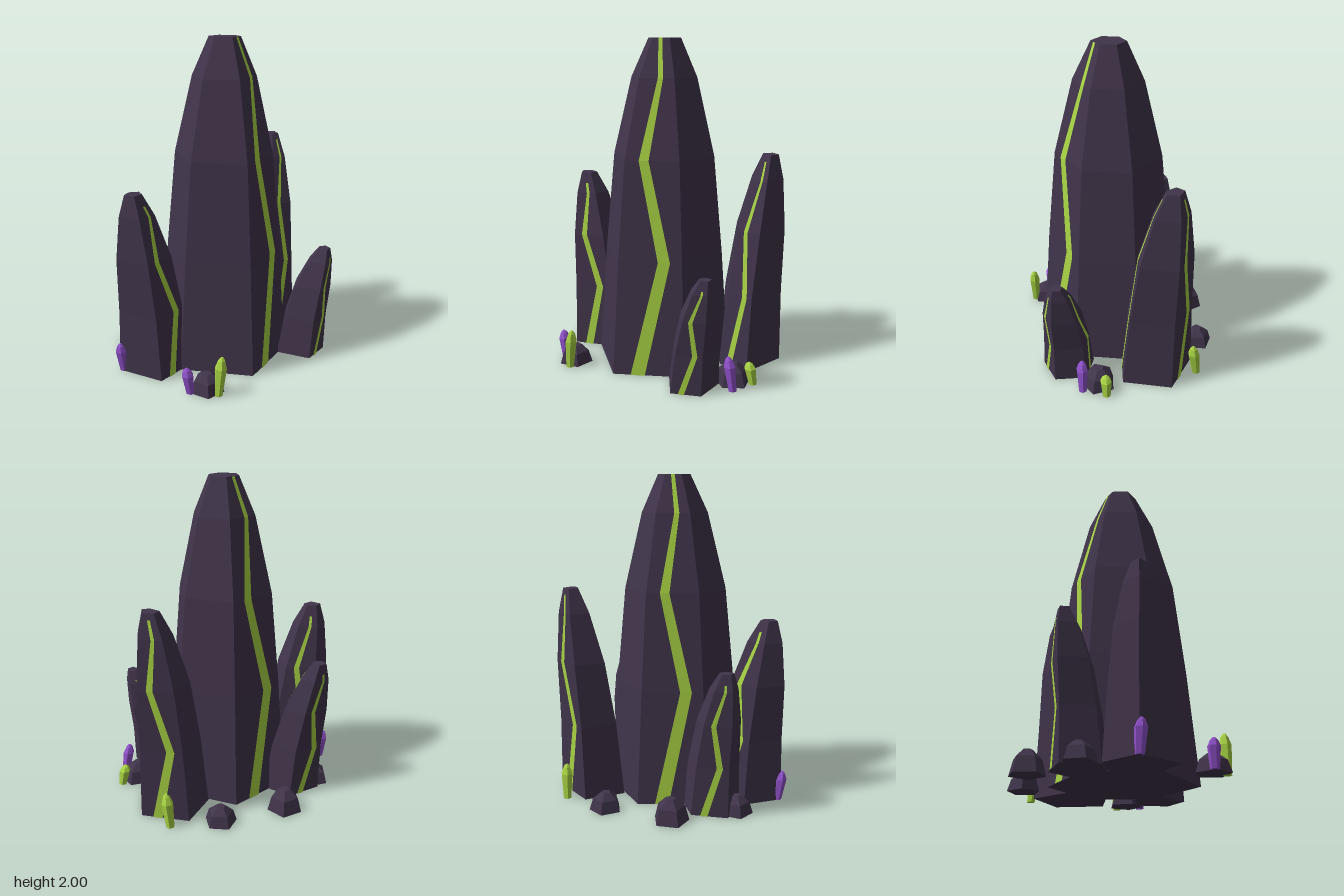
import * as THREE from 'three';

const rock = new THREE.MeshStandardMaterial({ color: 0x40344a });
rock.name = 'dark purple rock';
const green = new THREE.MeshStandardMaterial({ color: 0xa9d444 });
green.name = 'glowing green';
const purple = new THREE.MeshStandardMaterial({ color: 0x9152cc });
purple.name = 'violet crystal';

const V = (x, y, z) => new THREE.Vector3(x, y, z);

// Unshared corners keep every facet flat
function facets(tris, material, name) {
  const g = new THREE.BufferGeometry().setFromPoints(tris);
  g.computeVertexNormals();
  const m = new THREE.Mesh(g, material);
  m.name = name;
  return m;
}

// Closed solid through rings of equal point count, with flat ends
function loft(rings, material, name) {
  const tris = [], n = rings[0].length;
  for (let r = 0; r < rings.length - 1; r++) {
    for (let i = 0; i < n; i++) {
      const j = (i + 1) % n, lo = rings[r], hi = rings[r + 1];
      tris.push(lo[i], lo[j], hi[j], lo[i], hi[j], hi[i]);
    }
  }
  const bottom = rings[0], top = rings[rings.length - 1];
  for (let i = 1; i < n - 1; i++) {
    tris.push(bottom[0], bottom[i + 1], bottom[i], top[0], top[i], top[i + 1]);
  }
  return facets(tris, material, name);
}

// Zigzag vein on one side of a spire, raised just off the face
const ZIGZAG = [0.35, 0.72, 0.35, 0.61, 0.47];
const HALF = [0.1, 0.095, 0.09, 0.075, 0.11];
function vein(rings, side, end, name) {
  const n = rings[0].length, k = (side + 1) % n;
  const edge = V().subVectors(rings[0][k], rings[0][side]);
  const out = V(edge.z * -1, 0, edge.x).normalize().multiplyScalar(0.005);
  const rows = rings.map((ring, r) => [-1, 1].map(s =>
    ring[side].clone().lerp(ring[k], ZIGZAG[r] + s * HALF[r]).add(out)));
  rows[4] = rows[4].map((p, i) => rows[3][i].clone().lerp(p, end));
  const tris = [];
  for (let r = 0; r < 4; r++) {
    const [a, b] = rows[r], [d, c] = rows[r + 1];
    tris.push(a, b, c, a, c, d);
  }
  return facets(tris, green, name);
}

// Tapering spire: footprint (x, z) scaled up the height while leaning to the top centre
const LEVELS = [0, 0.35, 0.65, 0.885, 1];
const SCALES = [1, 0.88, 0.745, 0.48, 0.235];
function spire({ name, height, centre, top, foot, veins, end }) {
  const group = new THREE.Group();
  group.name = name;
  const rings = LEVELS.map((t, r) => {
    const lean = Math.pow(t, 1.6);
    const cx = centre[0] + (top[0] - centre[0]) * lean;
    const cz = centre[1] + (top[1] - centre[1]) * lean;
    return foot.map(([x, z]) => V(
      cx + (x - centre[0]) * SCALES[r], t * height, cz + (z - centre[1]) * SCALES[r]));
  });
  group.add(loft(rings, rock, name + 'Rock'));
  veins.forEach(s => group.add(vein(rings, s, end, name + 'Vein')));
  return group;
}

// Regular ring of points around (x, z)
function ring(n, x, y, z, r, turn) {
  return Array.from({ length: n }, (_, i) => {
    const a = turn + i * Math.PI * 2 / n;
    return V(x + Math.sin(a) * r, y, z + Math.cos(a) * r);
  });
}

// Low five-sided boulder
function boulder([x, z, r, h, turn]) {
  return loft([[0, 1], [0.65, 0.78], [1, 0.3]].map(([t, k]) =>
    ring(5, x, t * h, z, r * k, turn)), rock, 'boulder');
}

// Slim six-sided crystal leaning by (dx, dz)
function crystal([x, z, h, dx, dz, material]) {
  return loft([[0, 0.026], [0.72, 0.037], [0.92, 0.022], [1, 0.008]].map(([t, r]) =>
    ring(6, x + dx * t, t * h, z + dz * t, r, 0.3)), material, 'crystal');
}

export function createModel() {
  const model = new THREE.Group();
  model.name = 'crystalRockCluster';

  const spires = [
    { name: 'mainSpire', height: 2, centre: [-0.02, 0.06], top: [-0.02, 0.06], end: 1, veins: [0, 3],
      foot: [[-0.225, 0.47], [0.2, 0.39], [0.39, 0.04], [0.175, -0.32], [-0.25, -0.29], [-0.46, 0.09]] },
    { name: 'leftSpire', height: 1.31, centre: [0.48, -0.03], top: [0.605, -0.07], end: 0.75, veins: [0, 2],
      foot: [[0.36, 0.14], [0.545, 0.21], [0.705, -0.05], [0.51, -0.28], [0.28, -0.165]] },
    { name: 'rightSpire', height: 1.13, centre: [-0.5, -0.09], top: [-0.615, -0.125], end: 0.5, veins: [0, 2],
      foot: [[-0.635, 0.095], [-0.37, 0.085], [-0.27, -0.13], [-0.48, -0.285], [-0.71, -0.19]] },
    { name: 'backSpire', height: 0.88, centre: [-0.27, -0.32], top: [-0.36, -0.465], end: 0.4, veins: [0, 2],
      foot: [[-0.27, -0.14], [-0.1, -0.26], [-0.16, -0.45], [-0.38, -0.48], [-0.45, -0.27]] },
    { name: 'frontSpire', height: 0.69, centre: [0.27, 0.46], top: [0.37, 0.56], end: 0.3, veins: [0, 2],
      foot: [[0.18, 0.605], [0.36, 0.59], [0.42, 0.4], [0.27, 0.3], [0.11, 0.4]] },
  ];
  spires.forEach(s => model.add(spire(s)));

  // Boulders: x, z, radius, height, turn
  [
    [-0.045, -0.53, 0.11, 0.14, 1.1],
    [0.36, -0.4, 0.1, 0.11, 0.5],
    [-0.43, -0.39, 0.1, 0.11, 0.9],
    [-0.52, 0.36, 0.105, 0.11, 0.5],
    [0.49, 0.35, 0.11, 0.12, 0.9],
  ].forEach(b => model.add(boulder(b)));

  // Crystals: x, z, height, lean x, lean z, colour
  [
    [-0.52, 0.45, 0.24, 0.02, 0.01, green],
    [0.61, 0.345, 0.13, -0.025, -0.005, green],
    [0.63, -0.255, 0.21, 0.005, 0.03, green],
    [-0.61, 0.31, 0.165, -0.02, -0.01, purple],
    [0.515, 0.465, 0.2, -0.03, -0.01, purple],
    [-0.69, -0.18, 0.185, -0.025, 0, purple],
  ].forEach(c => model.add(crystal(c)));

  return model;
}
